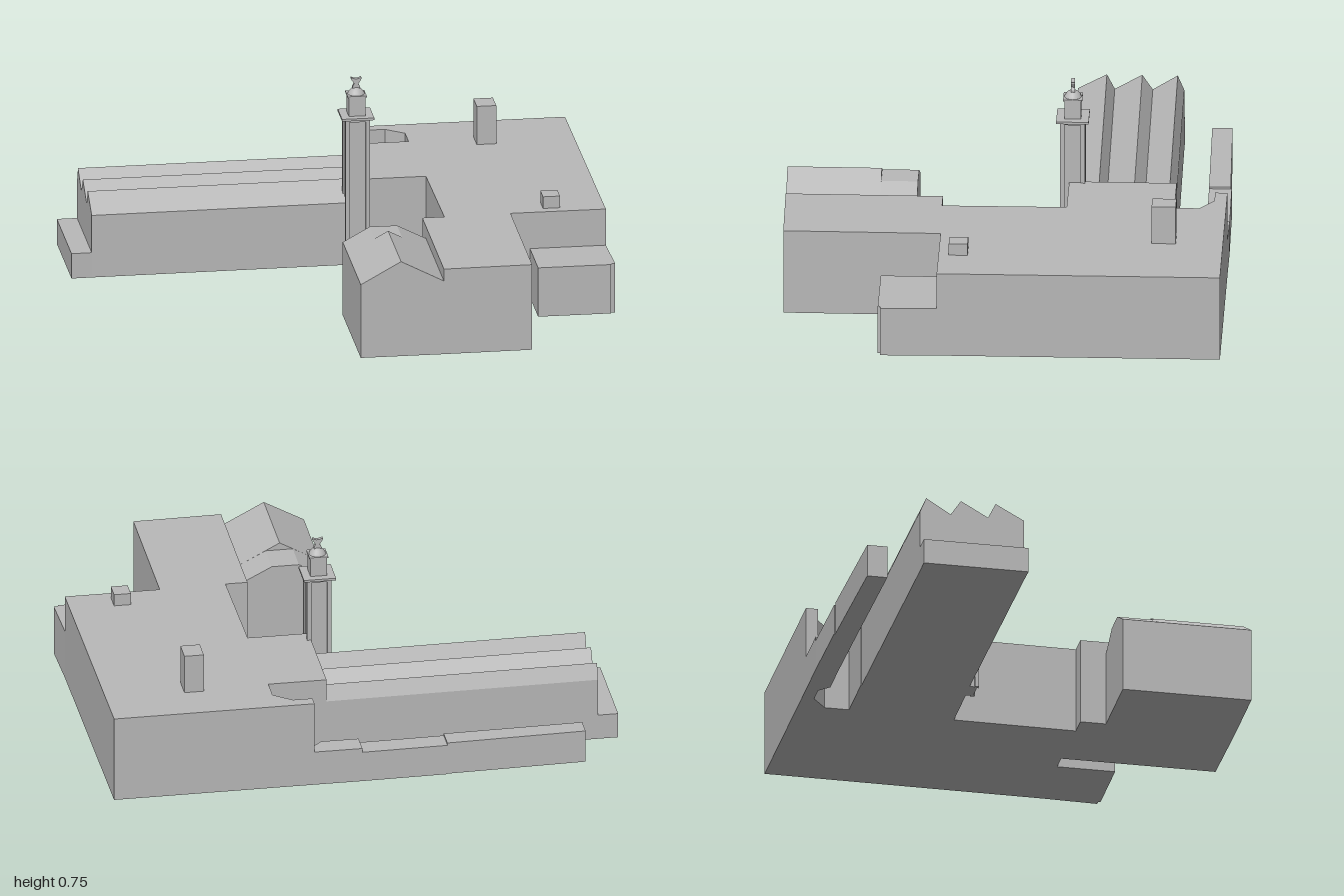
import * as THREE from 'three';

export function createModel() {
  const model = new THREE.Group();
  const stone = new THREE.MeshStandardMaterial({ color: 0xb8b8b8 });
  stone.name = 'stone grey';

  const add = (name, geometry, parent = model) => {
    const mesh = new THREE.Mesh(geometry, stone);
    mesh.name = name;
    parent.add(mesh);
    return mesh;
  };
  const outline = (points) => new THREE.Shape(points.map(([a, b]) => new THREE.Vector2(a, b)));
  const extrude = (points, depth) =>
    new THREE.ExtrudeGeometry(outline(points), { depth, bevelEnabled: false });

  // Upright block from a ground plan of [x, z] corners
  const block = (name, plan, height) =>
    add(name, extrude(plan.map(([x, z]) => [x, -z]), height).rotateX(-Math.PI / 2));
  // Box between two y levels, centred on x and z
  const box = (name, w, d, y0, y1, x, z, parent) =>
    add(name, new THREE.BoxGeometry(w, y1 - y0, d).translate(x, (y0 + y1) / 2, z), parent);

  // Main flat-roofed building with the chamfered yard corner
  block('mainBuilding', [
    [0.985, -0.845], [0.992, 0.235], [0.625, 0.235], [0.625, 0.835], [0.285, 0.84],
    [0.285, 0.24], [0.37, 0.24], [0.365, -0.235], [0.13, -0.235], [0.13, -0.645],
    [0.355, -0.645], [0.355, -0.74], [0.285, -0.795], [0.21, -0.795], [0.21, -0.842],
  ], 0.343);

  // Lower annex on the front
  block('annex', [[0.7, 0.235], [0.992, 0.235], [0.998, 0.45], [0.98, 0.452], [0.98, 0.46], [0.7, 0.46]], 0.197);

  // Saw-tooth roofed hall, slightly skewed along its length
  const hall = extrude([
    [0.63, 0], [0.63, 0.25], [0.605, 0.31], [0.51, 0.25], [0.47, 0.31],
    [0.365, 0.25], [0.335, 0.31], [0.225, 0.25], [0.225, 0],
  ], 1.052).rotateY(Math.PI / 2).translate(-0.922, 0, 0);
  const p = hall.attributes.position;
  for (let i = 0; i < p.count; i++) p.setZ(i, p.getZ(i) - 0.0115 * (p.getX(i) + 0.922));
  hall.computeVertexNormals();
  add('sawToothHall', hall);
  block('hallEndLedge', [[-1, -0.63], [-0.922, -0.63], [-0.922, -0.225], [-1, -0.223]], 0.1);

  // Long low range along the back, in three stepped lengths
  block('backRangeOuter', [[-0.842, -0.818], [-0.305, -0.833], [-0.305, -0.75], [-0.842, -0.74]], 0.13);
  block('backRangeMiddle', [[-0.305, -0.837], [0.025, -0.842], [0.025, -0.755], [-0.305, -0.75]], 0.122);
  block('backRangeInner', [[0.025, -0.842], [0.21, -0.842], [0.21, -0.795], [0.17, -0.755], [0.025, -0.755]], 0.138);

  // Gabled front wing, its ridge cut flat towards the back
  const gable = (name, top, z0, z1) =>
    add(name, extrude([[-0.035, 0], [0.285, 0], [0.285, 0.295], ...top, [-0.035, 0.295]], z1 - z0)
      .translate(0, 0, z0));
  gable('gabledWing', [[0.12, 0.381]], 0.48, 0.84);
  gable('gabledWingBack', [[0.174, 0.352], [0.069, 0.352]], 0.34, 0.48);

  // Roof stacks
  box('tallRoofStack', 0.075, 0.092, 0.34, 0.497, 0.645, -0.618);
  box('smallRoofStack', 0.065, 0.072, 0.34, 0.39, 0.788, 0.16);

  // Clock-style tower with corner posts, cornice, lantern and finial
  const tower = new THREE.Group();
  tower.name = 'tower';
  tower.position.set(0.098, 0, -0.248);
  model.add(tower);
  box('towerShaft', 0.082, 0.082, 0, 0.596, 0, 0, tower);
  for (const x of [-1, 1]) for (const z of [-1, 1]) {
    box('towerCornerPost', 0.016, 0.016, 0, 0.596, x * 0.039, z * 0.039, tower);
  }
  box('towerTopBand', 0.093, 0.093, 0.585, 0.597, 0, 0, tower);
  box('towerCornice', 0.124, 0.124, 0.596, 0.605, 0, 0, tower);
  box('lantern', 0.064, 0.064, 0.605, 0.68, 0, 0, tower);
  box('lanternEave', 0.073, 0.073, 0.68, 0.686, 0, 0, tower);
  add('lanternDome', new THREE.LatheGeometry(
    [[0.033, 0.686], [0.029, 0.695], [0.02, 0.705], [0.011, 0.711], [0, 0.713]]
      .map(([r, y]) => new THREE.Vector2(r, y)), 16), tower);
  add('finial', extrude([
    [-0.014, 0.705], [0.014, 0.705], [0.014, 0.716], [0.008, 0.727], [0.02, 0.746], [0.02, 0.752],
    [0.005, 0.747], [-0.005, 0.747], [-0.02, 0.752], [-0.02, 0.746], [-0.008, 0.727], [-0.014, 0.716],
  ], 0.015).translate(0, 0, -0.0075), tower);

  return model;
}
